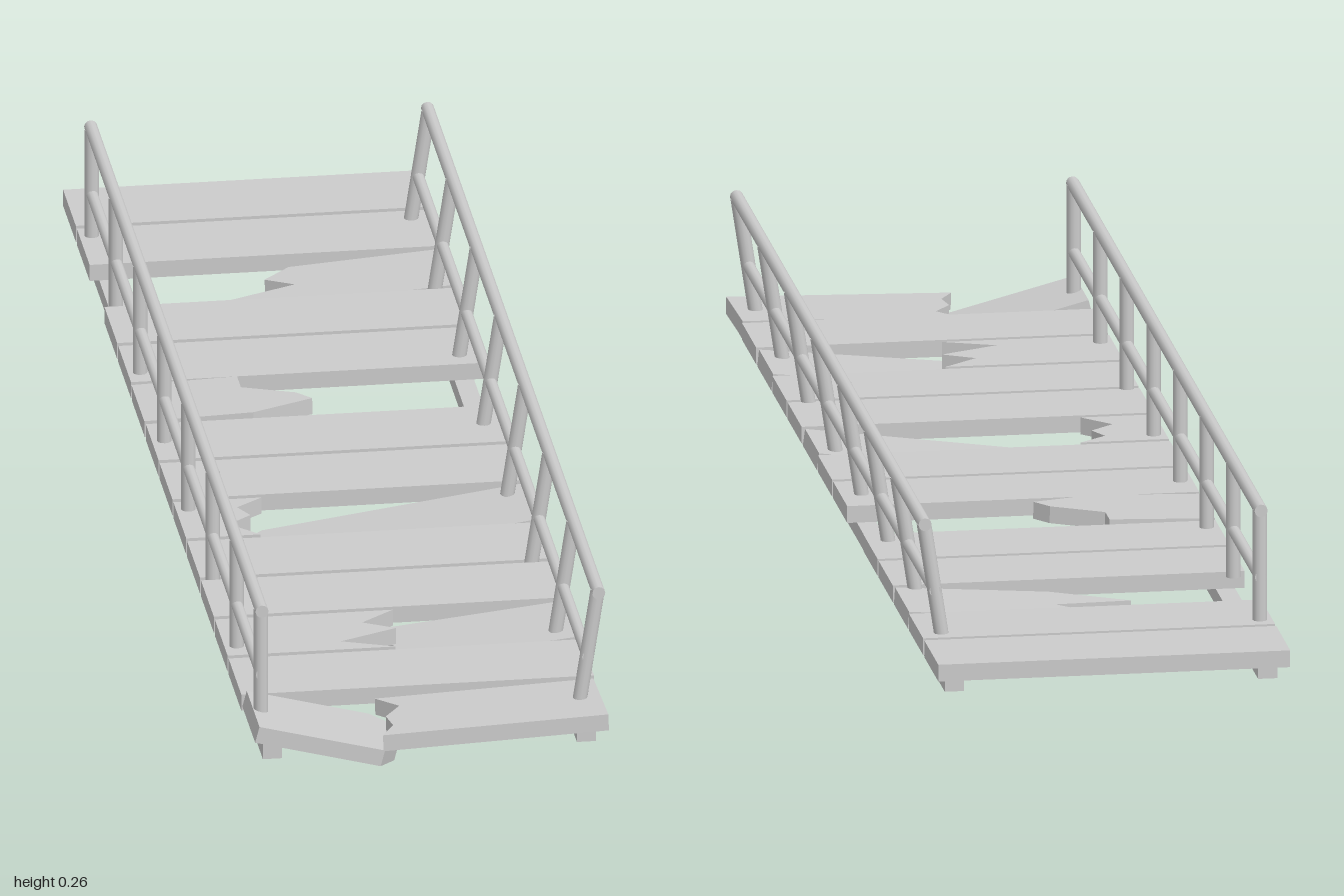
import * as THREE from 'three';

const material = new THREE.MeshStandardMaterial({ color: 0xcccccc });
const LEFT = 0.253, RIGHT = -0.258;   // plank ends
const DECK = 0.06, THICK = 0.025;     // plank underside and thickness
const WIDTH = 0.133, PITCH = 0.1436;

function add(parent, name, geometry) {
  const mesh = new THREE.Mesh(geometry, material);
  mesh.name = name;
  parent.add(mesh);
  return mesh;
}

// Round bar between two points
function bar(parent, name, a, b, radius) {
  const dir = b.clone().sub(a);
  const mesh = add(parent, name, new THREE.CylinderGeometry(radius, radius, dir.length(), 12));
  mesh.position.copy(a).add(b).multiplyScalar(0.5);
  mesh.quaternion.setFromUnitVectors(new THREE.Vector3(0, 1, 0), dir.normalize());
}

// Half plank hinged at its outer end; crack = [x, share of the width] from back to front
function brokenPlank(parent, name, z, endX, crack, tilt, yaw = 0) {
  const pts = crack.map(([x, t]) => new THREE.Vector2(x - endX, -(t - 0.5) * WIDTH));
  pts.push(new THREE.Vector2(0, -WIDTH / 2), new THREE.Vector2(0, WIDTH / 2));
  const geometry = new THREE.ExtrudeGeometry(new THREE.Shape(pts), { depth: THICK, bevelEnabled: false });
  geometry.rotateX(-Math.PI / 2);
  const mesh = add(parent, name, geometry);
  mesh.position.set(endX, DECK, z);
  mesh.rotation.set(0, yaw, tilt);
  return mesh;
}

export function createModel() {
  const model = new THREE.Group();
  model.name = 'brokenFootbridge';

  // Long beams under the deck
  for (const x of [-0.23, 0.225]) {
    add(model, 'beam', new THREE.BoxGeometry(0.028, 0.024, 1.95)).position.set(x, 0.048, 0.005);
  }

  // Deck: snapped planks by row, the rest whole
  const cracks = {
    2: { left: [[0.03, 0], [-0.01, 0.26], [0.03, 0.48], [-0.085, 0.73], [0.03, 1]], leftTilt: 0.07 },
    5: { right: [[-0.105, 0], [-0.105, 0.3], [-0.03, 0.56], [-0.01, 0.75], [-0.1, 1]], rightTilt: 0.03 },
    8: {
      right: [[-0.13, 0], [-0.17, 0.23], [-0.155, 0.46], [-0.19, 0.68], [-0.15, 1]], rightTilt: 0,
      left: [[-0.13, 0], [-0.17, 0.23], [-0.155, 0.46], [-0.19, 0.68], [-0.15, 1]], leftTilt: 0.134
    },
    11: {
      right: [[0, 0], [-0.05, 0.3], [-0.005, 0.5], [-0.09, 0.78], [-0.015, 1]], rightTilt: 0,
      left: [[0, 0], [-0.05, 0.3], [-0.005, 0.5], [-0.09, 0.78], [-0.015, 1]], leftTilt: 0.105
    },
    13: {
      right: [[-0.075, 0], [-0.03, 0.25], [-0.05, 0.5], [-0.045, 0.75], [-0.07, 1]], rightTilt: -0.255,
      left: [[-0.065, 0], [-0.035, 0.25], [-0.06, 0.5], [-0.055, 0.75], [-0.075, 1]], leftTilt: 0.03, yaw: 0.025
    }
  };
  const deck = new THREE.Group();
  deck.name = 'deck';
  model.add(deck);
  for (let i = 0; i < 14; i++) {
    const z = -1 + WIDTH / 2 + i * PITCH;
    const c = cracks[i];
    if (!c) {
      add(deck, 'plank', new THREE.BoxGeometry(LEFT - RIGHT, THICK, WIDTH))
        .position.set((LEFT + RIGHT) / 2, DECK + THICK / 2, z);
      continue;
    }
    if (c.left) brokenPlank(deck, 'brokenPlankLeft', z, LEFT, c.left, c.leftTilt, c.yaw);
    if (c.right) {
      const piece = brokenPlank(deck, 'brokenPlankRight', z, RIGHT, c.right, c.rightTilt);
      if (i === 13) piece.position.y = 0.071;
    }
  }

  // Handrails: the right one upright, the left one leaning outwards
  const sides = [
    { name: 'rightRailing', foot: -0.24, top: -0.24 },
    { name: 'leftRailing', foot: 0.222, top: 0.248 }
  ];
  for (const { name, foot, top } of sides) {
    const railing = new THREE.Group();
    railing.name = name;
    model.add(railing);
    const at = (y, z) => new THREE.Vector3(THREE.MathUtils.mapLinear(y, 0.08, 0.25, foot, top), y, z);
    for (let i = 0; i < 8; i++) {
      const z = -0.83 + i * 0.2514;
      bar(railing, 'post', at(0.08, z), at(0.25, z), 0.0105);
    }
    bar(railing, 'topRail', at(0.25, -0.842), at(0.25, 0.942), 0.0095);
    bar(railing, 'middleRail', at(0.15, -0.838), at(0.15, 0.938), 0.0085);
  }
  return model;
}
